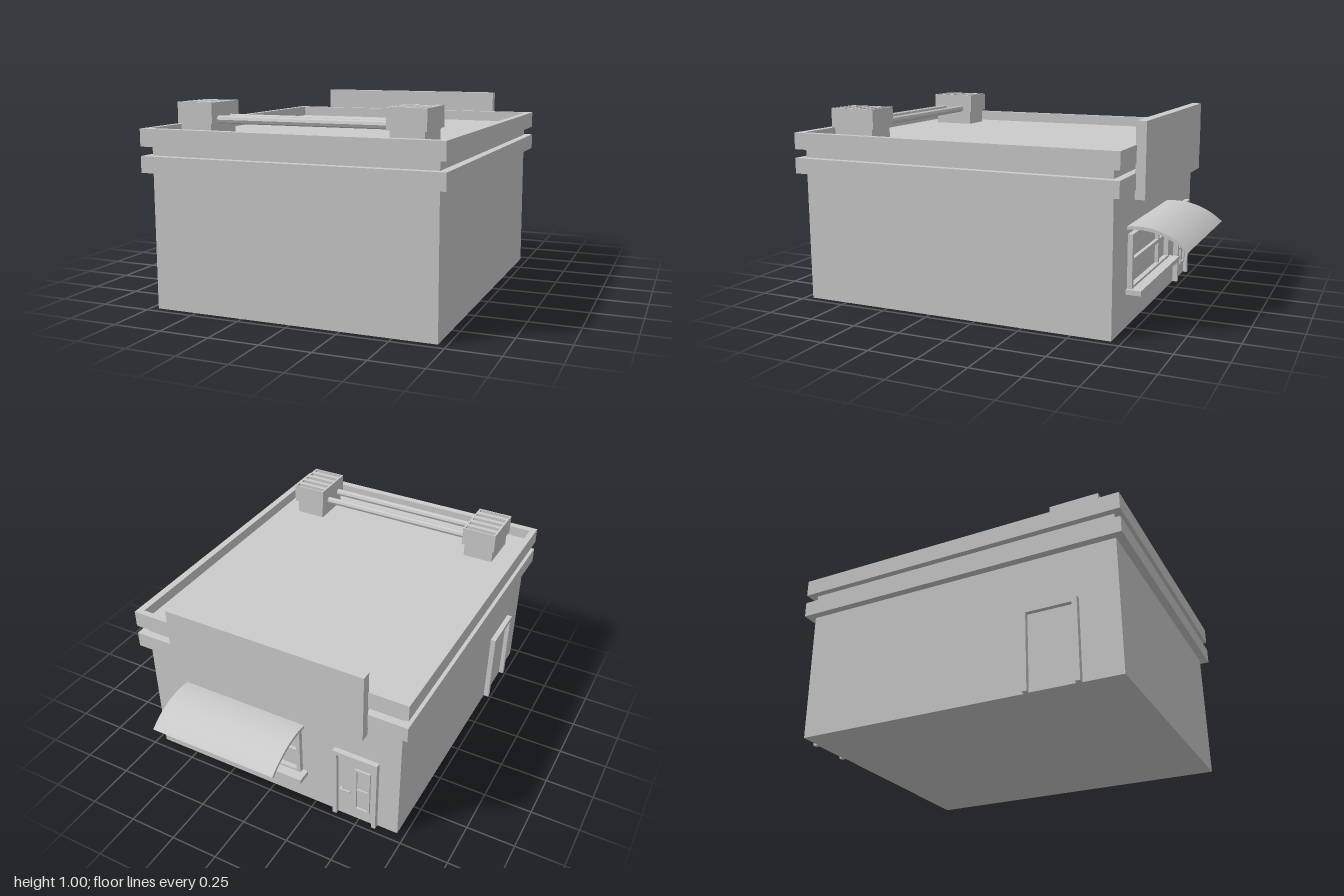
import * as THREE from 'three';
import { toCreasedNormals } from 'three/addons/utils/BufferGeometryUtils.js';

const grey = new THREE.MeshStandardMaterial({ color: 0xcccccc });

function add(parent, name, geometry) {
  const mesh = new THREE.Mesh(geometry, grey);
  mesh.name = name;
  parent.add(mesh);
  return mesh;
}

// Box given by its low and high limits on each axis
function box(parent, name, [x0, x1], [y0, y1], [z0, z1]) {
  const mesh = add(parent, name, new THREE.BoxGeometry(x1 - x0, y1 - y0, z1 - z0));
  mesh.position.set((x0 + x1) / 2, (y0 + y1) / 2, (z0 + z1) / 2);
  return mesh;
}

function rect(Type, x0, x1, y0, y1) {
  return new Type([[x0, y0], [x1, y0], [x1, y1], [x0, y1]].map(p => new THREE.Vector2(...p)));
}

function group(parent, name) {
  const g = new THREE.Group();
  g.name = name;
  parent.add(g);
  return g;
}

// Flat slab in plan with rectangular holes, spanning y0..y1
function slab(parent, name, [x0, x1], [y0, y1], [z0, z1], holes) {
  const shape = rect(THREE.Shape, x0, x1, -z1, -z0);
  shape.holes = holes.map(([a, b, c, d]) => rect(THREE.Path, a, b, -d, -c));
  const geo = new THREE.ExtrudeGeometry(shape, { depth: y1 - y0, bevelEnabled: false });
  geo.rotateX(-Math.PI / 2).translate(0, y0, 0);
  return add(parent, name, geo);
}

// Upright picture-style frame on the back wall
function backFrame(parent, name, [x0, x1], [y0, y1], [z0, z1], t) {
  const shape = rect(THREE.Shape, x0, x1, y0, y1);
  shape.holes = [rect(THREE.Path, x0 + t, x1 - t, y0 + t, y1 - t)];
  const geo = new THREE.ExtrudeGeometry(shape, { depth: z1 - z0, bevelEnabled: false });
  return add(parent, name, geo.translate(0, 0, z0));
}

export function createModel() {
  const model = new THREE.Group();
  model.name = 'shopBuilding';

  // Walls, cornice and roof parapet
  box(model, 'walls', [-0.71, 0.71], [0, 0.82], [-0.7, 0.96]);
  box(model, 'lowerCornice', [-0.75, 0.75], [0.67, 0.75], [-0.74, 1]);
  slab(model, 'parapet', [-0.75, 0.748], [0.795, 0.88], [-0.74, 1], [[-0.718, 0.712, -0.708, 0.96]]);
  box(model, 'roof', [-0.73, 0.73], [0.8, 0.825], [-0.72, 0.98]);

  // Sign board on the back
  box(model, 'signBoard', [-0.55, 0.51], [0.625, 0.99], [-0.785, -0.735]);

  // Two rooftop vents with slotted tops
  for (const [name, x0] of [['rightVent', -0.63], ['leftVent', 0.432]]) {
    const vent = group(model, name);
    const x1 = x0 + 0.187;
    box(vent, 'ventBase', [x0 + 0.012, x1 - 0.012], [0.82, 0.9], [0.625, 0.85]);
    box(vent, 'ventBody', [x0, x1], [0.9, 0.97], [0.61, 0.86]);
    const slots = [];
    for (let i = 0; i < 5; i++) {
      const z = 0.631 + i * 0.052;
      slots.push([x0 + 0.01, x1 - 0.01, z - 0.014, z + 0.014]);
    }
    slab(vent, 'ventGrille', [x0, x1], [0.97, 1], [0.61, 0.86], slots);
  }

  // Pipes joining the vents
  for (const z of [0.683, 0.798]) {
    const geo = new THREE.CylinderGeometry(0.019, 0.019, 0.88, 8).rotateZ(Math.PI / 2);
    add(model, 'pipe', toCreasedNormals(geo, 0.5)).position.set(-0.006, 0.917, z);
  }

  // Serving window with sill and bars
  const win = group(model, 'window');
  backFrame(win, 'windowFrame', [-0.175, 0.49], [0.18, 0.455], [-0.725, -0.7], 0.022);
  box(win, 'windowSill', [-0.205, 0.508], [0.165, 0.19], [-0.775, -0.7]);
  box(win, 'windowBar', [-0.16, 0.475], [0.31, 0.328], [-0.718, -0.7]);
  box(win, 'windowPost', [0, 0.02], [0.19, 0.445], [-0.718, -0.7]);

  // Curved awning over the window
  const arc = new THREE.Shape();
  arc.absarc(0.755, 0.131, 0.368, 0.845, 1.724, false);
  arc.absarc(0.755, 0.131, 0.352, 1.724, 0.845, true);
  arc.closePath();
  const awning = new THREE.ExtrudeGeometry(arc, { depth: 0.695, bevelEnabled: false, curveSegments: 16 });
  awning.rotateY(Math.PI / 2).translate(-0.19, 0, 0);
  add(model, 'awning', toCreasedNormals(awning, 0.6));

  // Back door with narrow glazed panel and handle
  const door = group(model, 'backDoor');
  box(door, 'doorPanel', [-0.58, -0.38], [0, 0.41], [-0.706, -0.69]);
  for (const x of [-0.6, -0.382]) box(door, 'doorPost', [x, x + 0.022], [0, 0.43], [-0.727, -0.7]);
  box(door, 'doorLintel', [-0.6, -0.36], [0.408, 0.43], [-0.727, -0.7]);
  backFrame(door, 'doorGlazing', [-0.56, -0.475], [0.07, 0.345], [-0.716, -0.7], 0.012);
  box(door, 'glazingBar', [-0.55, -0.485], [0.2, 0.212], [-0.714, -0.7]);
  box(door, 'doorHandle', [-0.455, -0.395], [0.172, 0.184], [-0.724, -0.715]);
  box(door, 'handleStem', [-0.41, -0.398], [0.172, 0.184], [-0.724, -0.7]);

  // Side door frame on the right wall
  const side = group(model, 'sideDoor');
  for (const z of [0.495, 0.745]) box(side, 'doorPost', [-0.738, -0.7], [0, 0.41], [z, z + 0.025]);
  box(side, 'doorLintel', [-0.738, -0.7], [0.385, 0.41], [0.495, 0.77]);
  box(side, 'doorPanel', [-0.714, -0.7], [0, 0.39], [0.515, 0.75]);

  return model;
}
